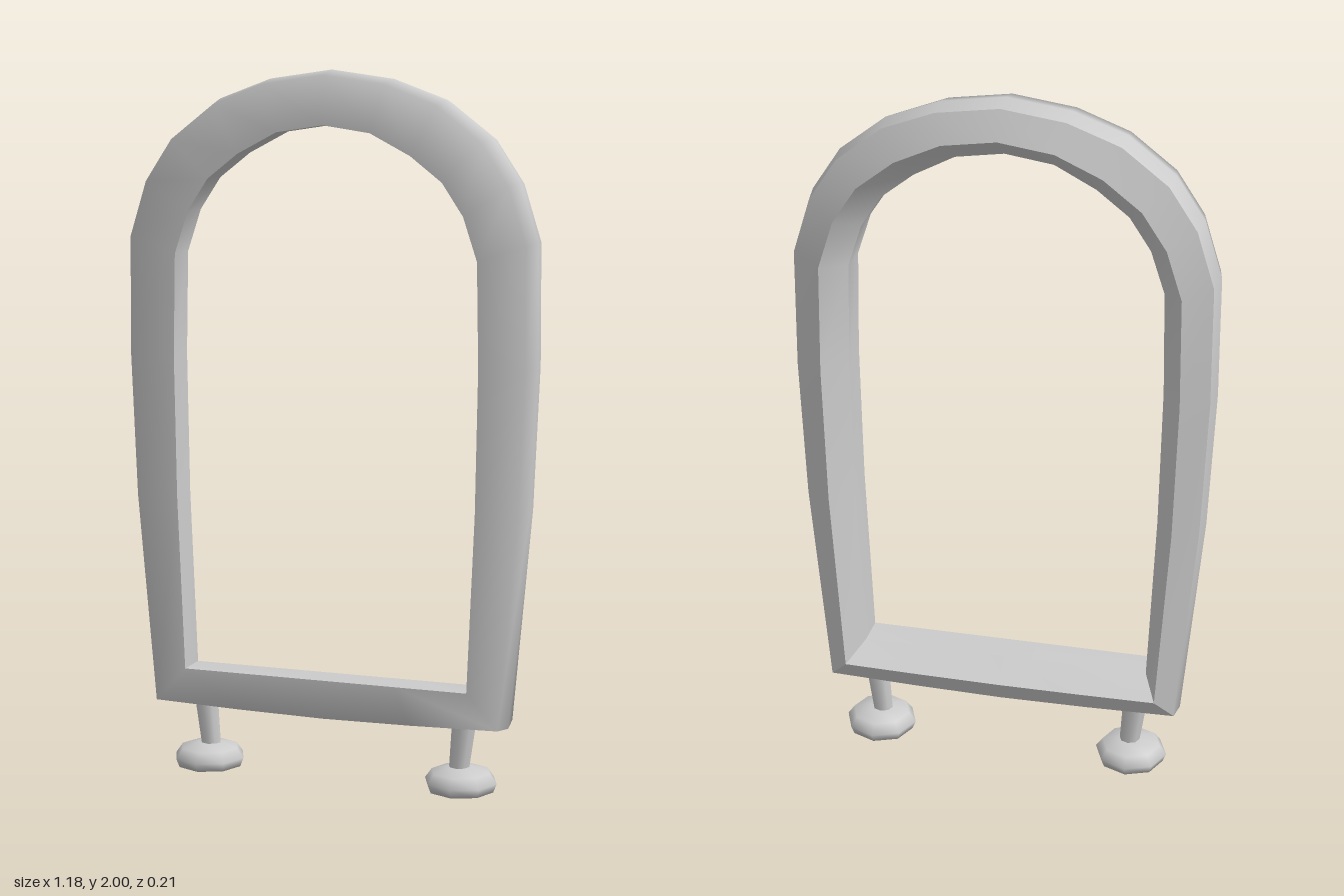
import * as THREE from 'three';
import { toCreasedNormals } from 'three/addons/utils/BufferGeometryUtils.js';

// Half outlines of the frame from top centre to bottom centre: [outerX, outerY, innerX, innerY]
const HALF = [
  [0, 2, 0, 1.85], [0.18, 1.975, 0.135, 1.83], [0.33, 1.92, 0.25, 1.77],
  [0.46, 1.82, 0.34, 1.70], [0.54, 1.70, 0.40, 1.61], [0.59, 1.54, 0.44, 1.49],
  [0.592, 1.2, 0.446, 1.2], [0.575, 0.8, 0.44, 0.8], [0.52, 0.19, 0.42, 0.30],
  [0.26, 0.182, 0.21, 0.30], [0, 0.178, 0, 0.30],
];

// Sweep a section of [t, z] points round the outline; t runs from outer (0) to inner (1)
function sweep(section) {
  const mirrored = HALF.slice(1, -1).reverse().map(([a, b, c, d]) => [-a, b, -c, d]);
  const loop = [...HALF, ...mirrored];
  const positions = [], index = [], m = section.length, n = loop.length;
  loop.forEach(([ox, oy, ix, iy], i) => {
    section.forEach(([t, z], j) => {
      positions.push(ox + (ix - ox) * t, oy + (iy - oy) * t, z);
      if (j === m - 1) return;
      const a = i * m + j, b = ((i + 1) % n) * m + j;
      index.push(a + 1, a, b, a + 1, b, b + 1);
    });
  });
  const geometry = new THREE.BufferGeometry();
  geometry.setAttribute('position', new THREE.Float32BufferAttribute(positions, 3));
  geometry.setIndex(index);
  geometry.computeVertexNormals();
  return geometry;
}

export function createModel() {
  const group = new THREE.Group();
  const material = new THREE.MeshStandardMaterial({ color: 0xcccccc });
  const thin = new THREE.MeshStandardMaterial({ color: 0xcccccc, side: THREE.DoubleSide });

  const add = (name, geometry, mat = material) => {
    const mesh = new THREE.Mesh(geometry, mat);
    mesh.name = name;
    group.add(mesh);
    return mesh;
  };

  // Rounded front and outer rim of the frame
  add('frameFront', sweep([[1, 0.085], [0.1, 0.085], [0, 0.01], [0.07, -0.058]]));

  // Bevelled back and inner wall of the frame
  const back = sweep([[0.07, -0.058], [0.6, -0.094], [1, -0.01], [1, 0.085]]);
  add('frameBack', toCreasedNormals(back, 0.5));

  // Foot profile: hollow underside, rim, then domed top
  const footProfile = [
    [0, 0.04], [0.095, 0], [0.105, 0.025], [0.085, 0.053], [0.035, 0.066], [0, 0.068],
  ].map(([r, y]) => new THREE.Vector2(r, y));

  for (const side of [1, -1]) {
    const name = side > 0 ? 'left' : 'right';

    // Leaning stem between foot and frame
    const bottom = new THREE.Vector3(side * 0.375, 0.055, 0);
    const top = new THREE.Vector3(side * 0.392, 0.22, 0);
    const axis = top.clone().sub(bottom);
    const stem = add(name + 'Stem', new THREE.CylinderGeometry(0.036, 0.029, axis.length(), 8));
    stem.position.copy(bottom).add(top).multiplyScalar(0.5);
    stem.quaternion.setFromUnitVectors(new THREE.Vector3(0, 1, 0), axis.normalize());

    // Eight-sided foot
    const foot = add(name + 'Foot', new THREE.LatheGeometry(footProfile, 8), thin);
    foot.position.x = side * 0.381;
  }
  return group;
}
